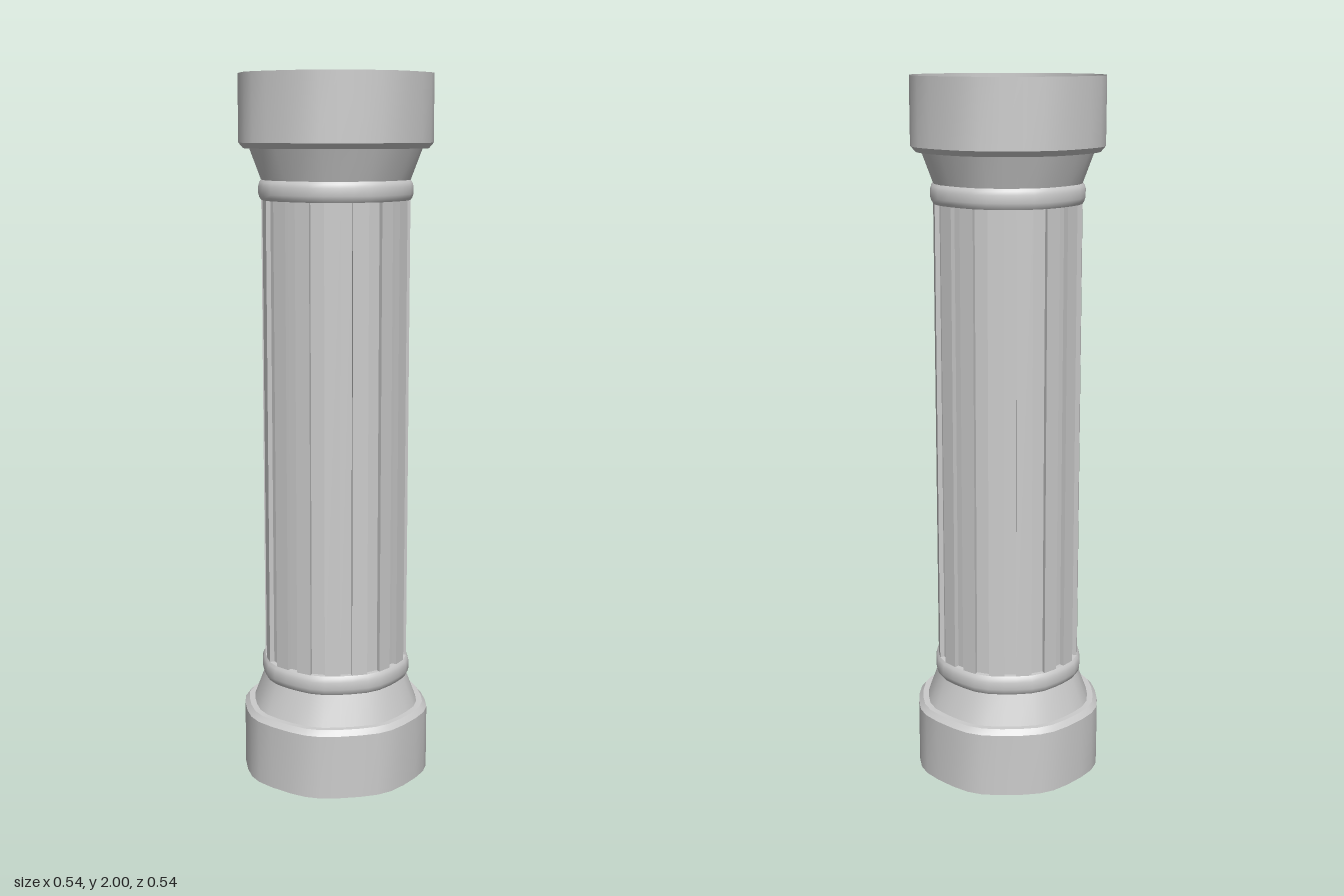
import * as THREE from 'three';
import { toCreasedNormals } from 'three/addons/utils/BufferGeometryUtils.js';

const FLUTES = 16;
const material = new THREE.MeshStandardMaterial({ color: 0xcccccc, side: THREE.DoubleSide });

// One horizontal cross-section: wide and narrow flutes alternate, four points each.
function section(y, r, depth = 0) {
  const t = (r - 0.208) / 0.062;
  const points = [];
  for (let i = 0; i < FLUTES; i++) {
    const wide = i % 2 === 0;
    const radius = r * (wide ? 1.006 : 0.989);
    const half = THREE.MathUtils.degToRad(wide ? 5.7 - 1.1 * t : 4.6 + 2 * t);
    const w = radius * Math.sin(half), d = radius * Math.cos(half);
    const a = (i / FLUTES) * Math.PI * 2;
    for (const [x, z] of [[-w, d], [-w, d - depth], [w, d - depth], [w, d]]) {
      points.push(new THREE.Vector3(
        x * Math.cos(a) + z * Math.sin(a), y, z * Math.cos(a) - x * Math.sin(a)));
    }
  }
  return points;
}

// Skin a stack of [y, radius, flute depth] sections, skipping collapsed triangles.
function loft(name, profile) {
  const rings = profile.map((p) => section(...p));
  const vertices = [];
  const addTriangle = (a, b, c) => {
    if (new THREE.Triangle(a, b, c).getArea() > 1e-8) {
      for (const p of [a, b, c]) vertices.push(p.x, p.y, p.z);
    }
  };
  for (let k = 0; k < rings.length - 1; k++) {
    const lower = rings[k], upper = rings[k + 1];
    for (let i = 0; i < lower.length; i++) {
      const j = (i + 1) % lower.length;
      addTriangle(lower[i], lower[j], upper[j]);
      addTriangle(lower[i], upper[j], upper[i]);
    }
  }
  const geometry = new THREE.BufferGeometry();
  geometry.setAttribute('position', new THREE.Float32BufferAttribute(vertices, 3));
  const mesh = new THREE.Mesh(toCreasedNormals(geometry, Math.PI / 6), material);
  mesh.name = name;
  return mesh;
}

// Turn a lower profile upside down for the matching upper part.
const flip = (profile) => profile.map(([y, r]) => [2 - y, r]).reverse();

export function createModel() {
  const column = new THREE.Group();
  column.name = 'column';

  // Open drum with a chamfered shoulder, a sloping neck and a rounded collar
  const drum = [[0, 0.27], [0.185, 0.27], [0.2, 0.257], [0.2, 0.24]];
  const neck = [[0.2, 0.24], [0.285, 0.208]];
  const collar = [[0.285, 0.208], [0.292, 0.213], [0.302, 0.216],
    [0.323, 0.216], [0.333, 0.213], [0.34, 0.208]];
  column.add(
    loft('base', drum), loft('lowerNeck', neck), loft('lowerCollar', collar),
    loft('capital', flip(drum)), loft('upperNeck', flip(neck)), loft('upperCollar', flip(collar)));

  // Fluted shaft with flat ledges closing the flute ends
  column.add(loft('flutedShaft', [
    [0.34, 0.208, 0], [0.34, 0.208, 0.014], [1.66, 0.208, 0.014], [1.66, 0.208, 0]]));

  return column;
}
